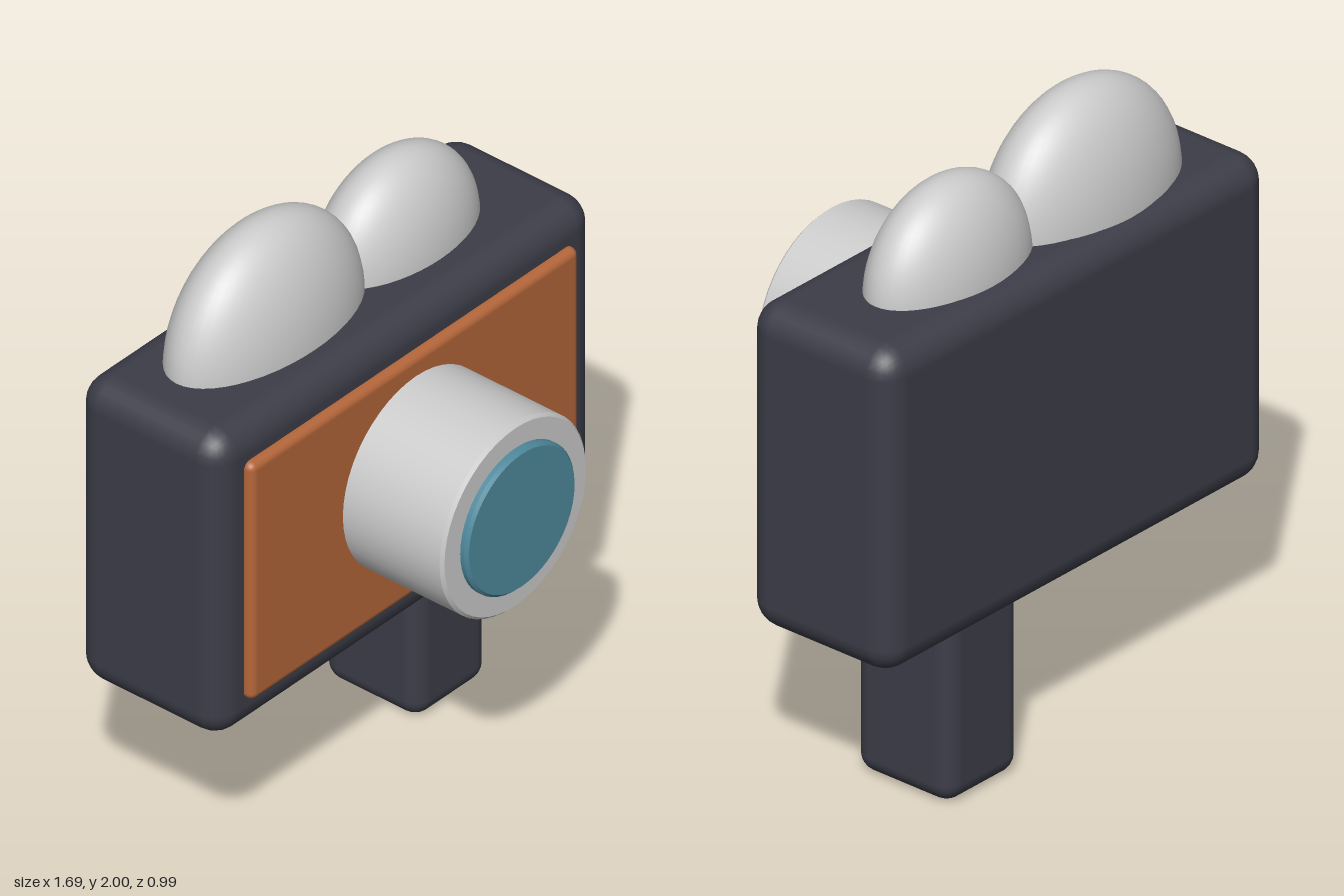
import * as THREE from 'three';
import { RoundedBoxGeometry } from 'three/addons/geometries/RoundedBoxGeometry.js';

const paint = (color) => new THREE.MeshStandardMaterial({ color });
const dark = paint(0x3c3d48);
const brown = paint(0xb4663a);
const blue = paint(0x4f8a9e);
const grey = paint(0xcccccc);

export function createModel() {
  const model = new THREE.Group();

  const add = (name, geometry, material, x, y, z) => {
    const mesh = new THREE.Mesh(geometry, material);
    mesh.name = name;
    mesh.position.set(x, y, z);
    model.add(mesh);
    return mesh;
  };

  // Box with rounded edges
  const block = (name, material, [w, h, d], radius, x, y, z) =>
    add(name, new RoundedBoxGeometry(w, h, d, 3, radius), material, x, y, z);

  // Disc or barrel along z with small bevelled rims, from z0 to z1
  const barrel = (name, material, r, z0, z1, bevel) => {
    const profile = [
      [0, z0], [r - bevel, z0], [r - bevel, z0], [r, z0 + bevel], [r, z0 + bevel],
      [r, z1 - bevel], [r, z1 - bevel], [r - bevel, z1], [r - bevel, z1], [0, z1],
    ].map(([a, b]) => new THREE.Vector2(a, b));
    // Separate lathes per section keep the rims crisp
    const group = new THREE.Group();
    group.name = name;
    for (let i = 0; i < profile.length; i += 2) {
      const part = new THREE.Mesh(new THREE.LatheGeometry(profile.slice(i, i + 2), 48), material);
      part.name = name + 'Section';
      part.rotation.x = Math.PI / 2;
      group.add(part);
    }
    group.position.y = 1.12;
    model.add(group);
  };

  // Main body, front panel and hand grip
  block('body', dark, [1.69, 1.07, 0.555], 0.09, 0, 1.09, -0.2175);
  block('frontPanel', brown, [1.46, 0.84, 0.08], 0.025, 0, 1.0925, 0.05);
  block('grip', dark, [0.325, 0.7, 0.37], 0.06, 0.3775, 0.355, -0.275);

  // Lens barrel and glass
  barrel('lensBarrel', grey, 0.325, 0.04, 0.47, 0.01);
  barrel('lensGlass', blue, 0.245, 0.44, 0.495, 0.01);

  // Two flattened reels sunk into the top
  for (const [name, x, y, r, depth] of [
    ['largeReel', -0.285, 1.61, 0.39, 0.195],
    ['smallReel', 0.3, 1.605, 0.32, 0.174],
  ]) {
    add(name, new THREE.SphereGeometry(1, 48, 32), grey, x, y, -0.247).scale.set(r, r, depth);
  }

  return model;
}
